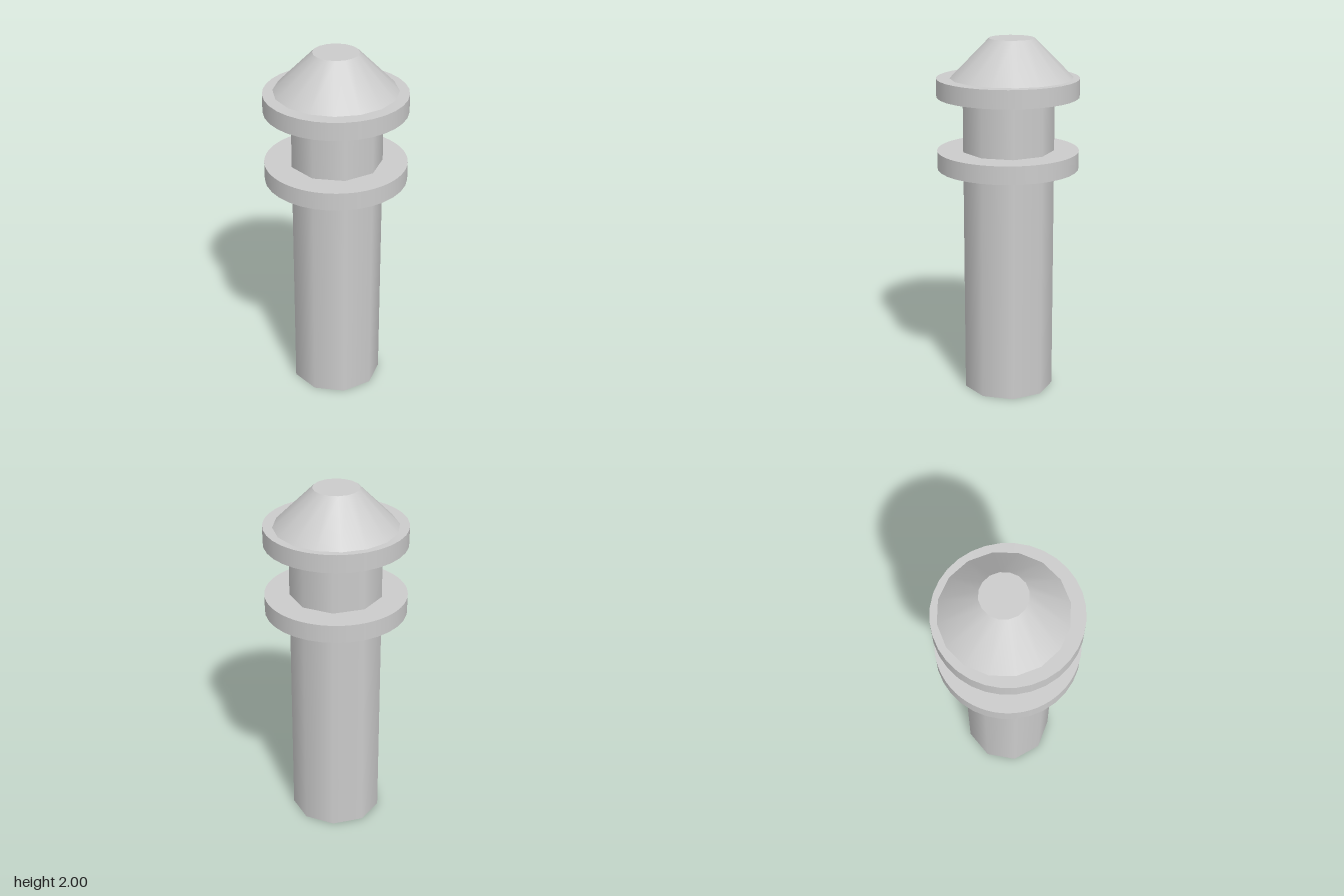
import * as THREE from 'three';

const DEG = Math.PI / 180;
const SIDES = 9;
const START = 12 * DEG; // turn of the nine-sided tube
const OUTER = 0.254;
const INNER = 0.186;
const SHAFT_TOP = 1.7;

export function createModel() {
  const model = new THREE.Group();
  const grey = new THREE.MeshStandardMaterial({ color: 0xcccccc });
  const inside = new THREE.MeshStandardMaterial({ color: 0xcccccc, side: THREE.BackSide });

  const add = (name, geometry, y, parent = model, material = grey) => {
    const mesh = new THREE.Mesh(geometry, material);
    mesh.name = name;
    mesh.position.y = y;
    parent.add(mesh);
    return mesh;
  };

  // Hollow nine-sided shaft, open at the foot
  const shaft = new THREE.Group();
  shaft.name = 'shaft';
  model.add(shaft);
  const tube = (r) => new THREE.CylinderGeometry(r, r, SHAFT_TOP, SIDES, 1, true, START);
  add('shaftWall', tube(OUTER), SHAFT_TOP / 2, shaft);
  add('shaftBore', tube(INNER), SHAFT_TOP / 2, shaft, inside);
  const rim = new THREE.RingGeometry(INNER, OUTER, SIDES, 1, Math.PI / 2 - START);
  add('shaftRim', rim.rotateX(Math.PI / 2), 0, shaft);

  // Lower collar: a flat ring around the shaft
  const outline = new THREE.Shape().absarc(0, 0, 0.39, 0, Math.PI * 2);
  outline.holes.push(new THREE.Path().absarc(0, 0, 0.22, 0, Math.PI * 2, true));
  const collarFaces = new THREE.ShapeGeometry(outline, 32);
  const collar = new THREE.Group();
  collar.name = 'lowerCollar';
  model.add(collar);
  const turn = 4 * DEG;
  const band = (open) => new THREE.CylinderGeometry(0.39, 0.39, 0.1, 32, 1, open, -turn);
  add('collarEdge', band(true), 1.337, collar);
  add('collarTop', collarFaces.clone().rotateX(-Math.PI / 2).rotateY(-turn), 1.387, collar);
  add('collarUnderside', collarFaces.clone().rotateX(Math.PI / 2).rotateY(-turn), 1.287, collar);

  // Upper collar: a solid disc closing the shaft
  add('upperCollar', band(false), 1.736);

  // Truncated cone cap, set slightly towards the back
  const cap = add('cap', new THREE.CylinderGeometry(0.125, 0.337, 0.214, 16), 1.893);
  cap.position.z = -0.02;

  return model;
}
